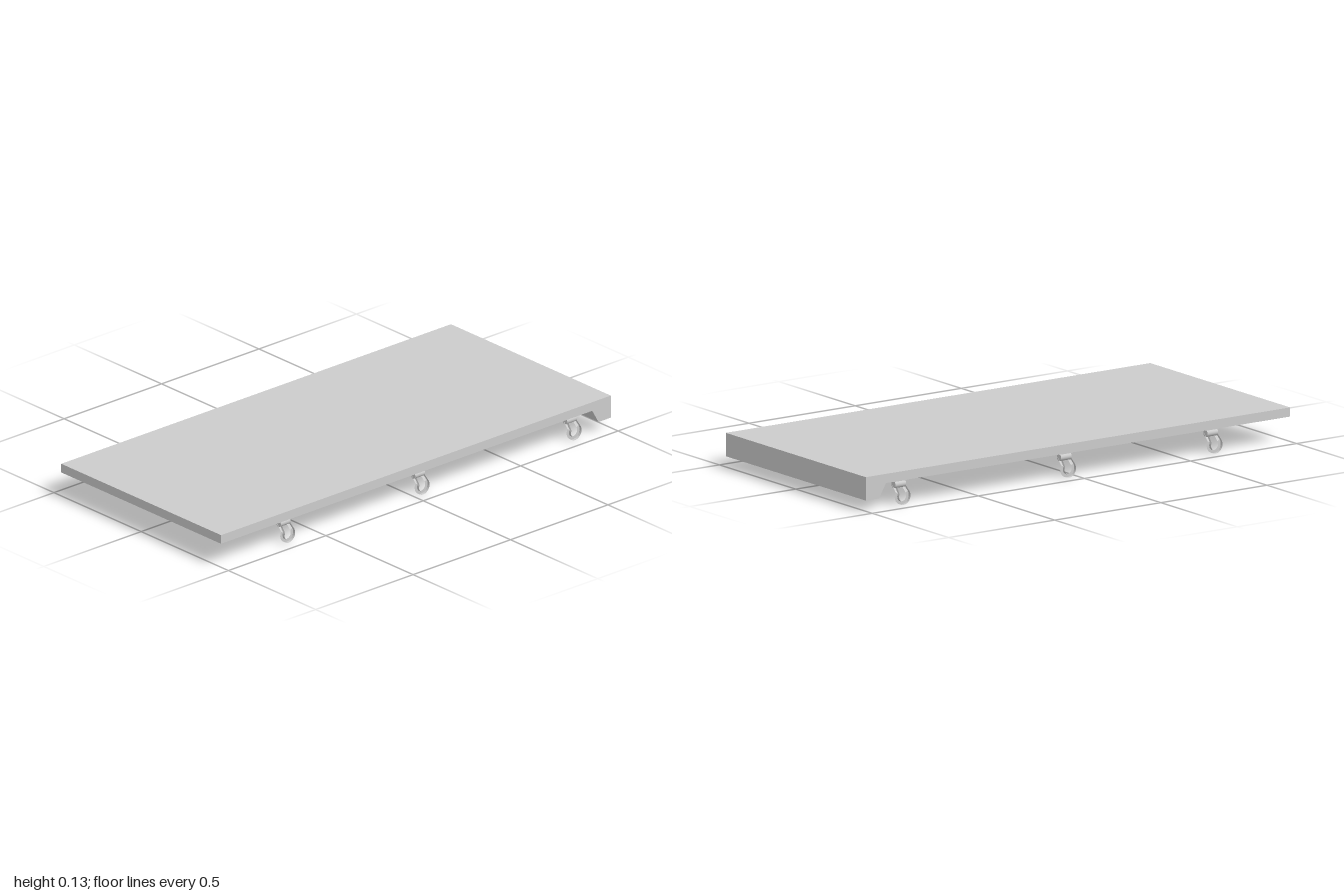
import * as THREE from 'three';
import { toCreasedNormals } from 'three/addons/utils/BufferGeometryUtils.js';

const material = new THREE.MeshStandardMaterial({ color: 0xcccccc });

function addMesh(parent, name, geometry, x = 0, y = 0, z = 0) {
  const mesh = new THREE.Mesh(geometry, material);
  mesh.name = name;
  mesh.position.set(x, y, z);
  parent.add(mesh);
  return mesh;
}

// Flat band swept round a U in the z-y plane, its arms leaning inward at the top
function loopGeometry() {
  const centreY = 0.033, outer = 0.033, inner = 0.021, thick = 0.012;
  const stations = [[[-0.026, 0.075], [-0.015, 0.075]]];
  const steps = 28, start = Math.PI * 0.83;
  for (let i = 0; i <= steps; i++) {
    const a = start + (i / steps) * (Math.PI * 3 - 2 * start);
    stations.push([outer, inner].map(r => [r * Math.cos(a), centreY + r * Math.sin(a)]));
  }
  stations.push([[0.026, 0.075], [0.015, 0.075]]);

  const positions = [], index = [];
  stations.forEach(([o, n], i) => {
    for (const [p, side] of [[o, -1], [o, 1], [n, 1], [n, -1]]) {
      const lean = Math.max(0, p[1] - 0.052) * 1.2;
      positions.push(0.449 + side * thick / 2 - lean, p[1], p[0]);
    }
    if (i === 0) return;
    for (let k = 0; k < 4; k++) {
      const a = (i - 1) * 4 + k, b = (i - 1) * 4 + (k + 1) % 4;
      index.push(a, a + 4, b, b, a + 4, b + 4);
    }
  });
  const last = (stations.length - 1) * 4;
  index.push(0, 1, 2, 0, 2, 3, last, last + 2, last + 1, last, last + 3, last + 2);
  const geometry = new THREE.BufferGeometry();
  geometry.setAttribute('position', new THREE.Float32BufferAttribute(positions, 3));
  geometry.setIndex(index);
  return toCreasedNormals(geometry, 0.6);
}

export function createModel() {
  const model = new THREE.Group();
  model.name = 'panelWithTieDowns';

  // Panel with a deep, chamfered rear lip, extruded across its width
  const profile = new THREE.Shape([
    [1, 0.098], [1, 0.134], [-1, 0.134], [-1, 0.042], [-0.937, 0.042], [-0.905, 0.098],
  ].map(([z, y]) => new THREE.Vector2(-z, y)));
  const panel = new THREE.ExtrudeGeometry(profile, { depth: 0.916, bevelEnabled: false });
  panel.translate(0, 0, -0.458);
  panel.rotateY(Math.PI / 2);
  addMesh(model, 'panel', panel);

  // Three hanging loops along each long edge
  const loop = loopGeometry();
  const pivot = new THREE.CylinderGeometry(0.014, 0.014, 0.05, 20).rotateX(Math.PI / 2);
  const neck = new THREE.BoxGeometry(0.014, 0.02, 0.044);
  const mount = new THREE.BoxGeometry(0.019, 0.009, 0.062);
  for (const z of [0.65, -0.04, -0.82]) {
    for (const side of [1, -1]) {
      const hook = new THREE.Group();
      hook.name = side > 0 ? 'leftTieDown' : 'rightTieDown';
      addMesh(hook, 'loop', loop);
      addMesh(hook, 'pivot', pivot, 0.424, 0.077, 0);
      addMesh(hook, 'neck', neck, 0.424, 0.086, 0);
      addMesh(hook, 'mount', mount, 0.424, 0.094, 0);
      hook.position.z = z;
      hook.rotation.y = side > 0 ? 0 : Math.PI;
      model.add(hook);
    }
  }
  return model;
}
